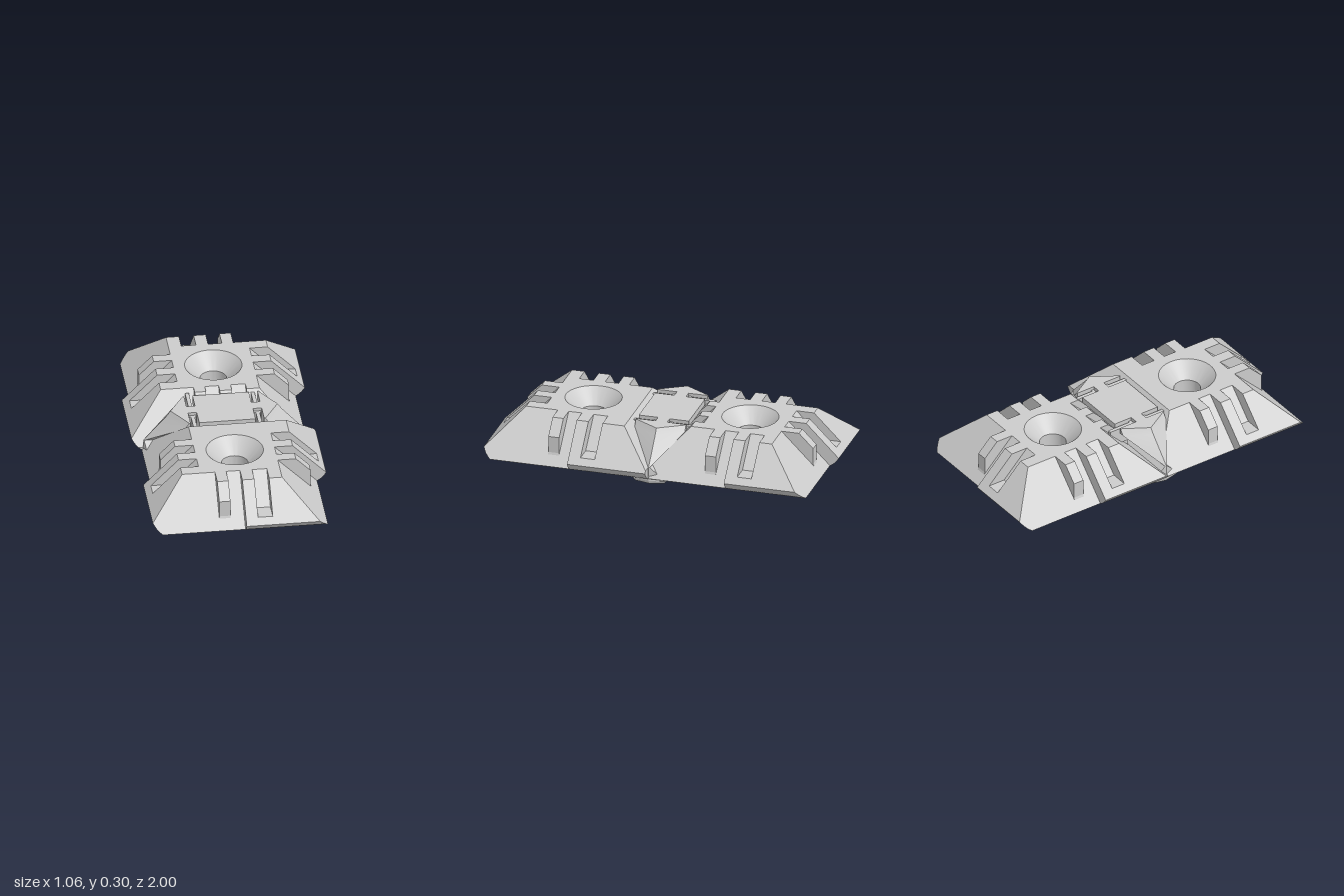
import * as THREE from 'three';
import { toCreasedNormals } from 'three/addons/utils/BufferGeometryUtils.js';

const BASE = 0.035, TOP = 0.3, CENTRE = 0.47;
const mat = new THREE.MeshStandardMaterial({ color: 0xcccccc, side: THREE.DoubleSide });

function mesh(geometry, name) {
  const m = new THREE.Mesh(geometry, mat);
  m.name = name;
  return m;
}

// Skin a stack of plan outlines ([x, z] lists that run from +x towards +z)
function skin(out, levels, closed) {
  for (let k = 0; k + 1 < levels.length; k++) {
    const lo = levels[k], hi = levels[k + 1], n = lo.path.length;
    for (let i = 0; i < (closed ? n : n - 1); i++) {
      const j = (i + 1) % n;
      const p = (l, m) => [l.path[m][0], l.y, l.path[m][1]];
      out.push(...p(lo, i), ...p(hi, i), ...p(lo, j), ...p(lo, j), ...p(hi, i), ...p(hi, j));
    }
  }
}

// Flat lid over an outline, facing up (1) or down (-1)
function lid(out, path, y, facing) {
  const pts = path.map(([x, z]) => new THREE.Vector2(x, z));
  for (const [a, b, c] of THREE.ShapeUtils.triangulateShape(pts, [])) {
    const cross = (pts[b].x - pts[a].x) * (pts[c].y - pts[a].y) - (pts[b].y - pts[a].y) * (pts[c].x - pts[a].x);
    const order = cross * facing < 0 ? [a, b, c] : [a, c, b];
    for (const i of order) out.push(pts[i].x, y, pts[i].y);
  }
}

function toGeometry(out) {
  const g = new THREE.BufferGeometry();
  g.setAttribute('position', new THREE.Float32BufferAttribute(out, 3));
  return toCreasedNormals(g, 0.35);
}

// Side profile: rounded underside, then a 45 degree slope
const R = 0.138;
const under = y => y >= 0.105 ? 1 : 0.41 + Math.sqrt(Math.max(0, R * R - (R - (y - BASE)) ** 2));
const recessed = y => Math.min(0.53 - y, under(y));
const raised = y => Math.min(0.635 - y, under(y));
const joint = y => Math.min(0.585 - y, under(y), 0.467);

// One quarter outline: recessed +x side with a rib, raised +z side with a slot
function quarter(y, hasRib, hasSlot) {
  const X = recessed(y), Z = raised(y);
  const rib = hasRib ? Math.max(X, Math.min(0.635 - y, 0.42)) : X;
  const slot = hasSlot ? 0.53 - y : Z;
  return [[X, 0], [X, 0.08], [rib, 0.08], [rib, 0.145], [X, 0.145], [X, Z],
    [0.155, Z], [0.155, slot], [0.07, slot], [0.07, Z], [0, Z], [0, X]];
}

function createTile(name, plainJoint) {
  const tile = new THREE.Group();
  tile.name = name;
  const rows = [0.035, 0.037, 0.041, 0.047, 0.053, 0.065, 0.078, 0.092, 0.105].map(y => [y, false, false]);
  rows.push([0.105, true, false], [0.118, true, false], [0.14, true, false], [0.14, true, true],
    [0.215, true, true], [TOP, true, true]);
  const out = [];
  for (let q = 0; q < 4; q++) {
    const c = Math.round(Math.cos(q * Math.PI / 2)), s = Math.round(Math.sin(q * Math.PI / 2));
    // Turn into place and trim the side that meets the connector
    const place = (path, y) => path.map(([x, z]) => {
      const px = c * x - s * z;
      let pz = s * x + c * z;
      const limit = -joint(y);
      if (pz < limit || (plainJoint && pz <= -recessed(y) + 0.001)) pz = limit;
      return [px, pz];
    });
    const levels = rows.map(([y, rib, slot]) => ({ y, path: place(quarter(y, rib, slot), y) }));
    skin(out, levels, false);
    const withHole = (level, r) => {
      const arc = [];
      for (let i = 0; i <= 12; i++) {
        const a = Math.PI / 2 * (1 - i / 12);
        arc.push([r * (c * Math.cos(a) - s * Math.sin(a)), r * (s * Math.cos(a) + c * Math.sin(a))]);
      }
      // drop repeated points before filling
      return [...level.path, ...arc].filter((p, i, all) =>
        i === 0 || Math.hypot(p[0] - all[i - 1][0], p[1] - all[i - 1][1]) > 1e-6);
    };
    lid(out, withHole(levels[0], 0.263), BASE, -1);
    lid(out, withHole(levels[levels.length - 1], 0.165), TOP, 1);
  }
  tile.add(mesh(toGeometry(out), 'tileBody'));

  // Countersunk hole with its collar in the conical hollow below
  const profile = [[0.165, TOP], [0.077, 0.212], [0.077, 0.1], [0.117, 0.1], [0.117, 0.18], [0.263, BASE]]
    .map(([r, y]) => new THREE.Vector2(r, y));
  tile.add(mesh(toCreasedNormals(new THREE.LatheGeometry(profile, 48), 0.4), 'screwHole'));

  // Clip arms reaching into the connector
  for (const side of [-1, 1]) {
    const arm = mesh(new THREE.BoxGeometry(0.022, 0.1, 0.165), 'clipArm');
    arm.position.set(side * 0.188, 0.235, -0.347);
    const hook = mesh(new THREE.BoxGeometry(0.04, 0.1, 0.018), 'clipHook');
    hook.position.set(side * 0.188, 0.235, -0.421);
    tile.add(arm, hook);
  }
  return tile;
}

// Waisted bar between the tiles, pointed at both ends and notched for the clips
function createConnector() {
  const rows = [[0, 0.035, 0.40], [0.006, 0.06, 0.44], [0.018, 0.085, 0.462], [0.035, 0.1, 0.468],
    [0.05, 0.075, 0.468], [0.118, 0.006, 0.467], [0.265, 0.15, 0.335], [TOP, 0.15, 0.31]];
  const levels = rows.map(([y, w, tip]) => {
    const corner = y < 0.1 ? tip - 0.02 : tip - 0.6 * w;
    const notch = y < 0.1 ? w : Math.min(w, 0.035);
    const q = [[tip, 0], [corner, w], [0.213, w], [0.213, notch], [0.163, notch], [0.163, w]];
    const half = [...q, ...[...q].reverse().map(([x, z]) => [-x, z])];
    return { y, path: [...half, ...half.slice(1, -1).reverse().map(([x, z]) => [x, -z])] };
  });
  const out = [];
  skin(out, levels, true);
  lid(out, levels[0].path, 0, -1);
  lid(out, levels[levels.length - 1].path, TOP, 1);
  return mesh(toGeometry(out), 'connector');
}

export function createModel() {
  const model = new THREE.Group();
  model.name = 'linkedTiles';
  const front = createTile('frontTile', true);
  front.position.z = CENTRE;
  const back = createTile('backTile', false);
  back.position.z = -CENTRE;
  back.rotation.y = Math.PI;
  model.add(front, back, createConnector());
  return model;
}
